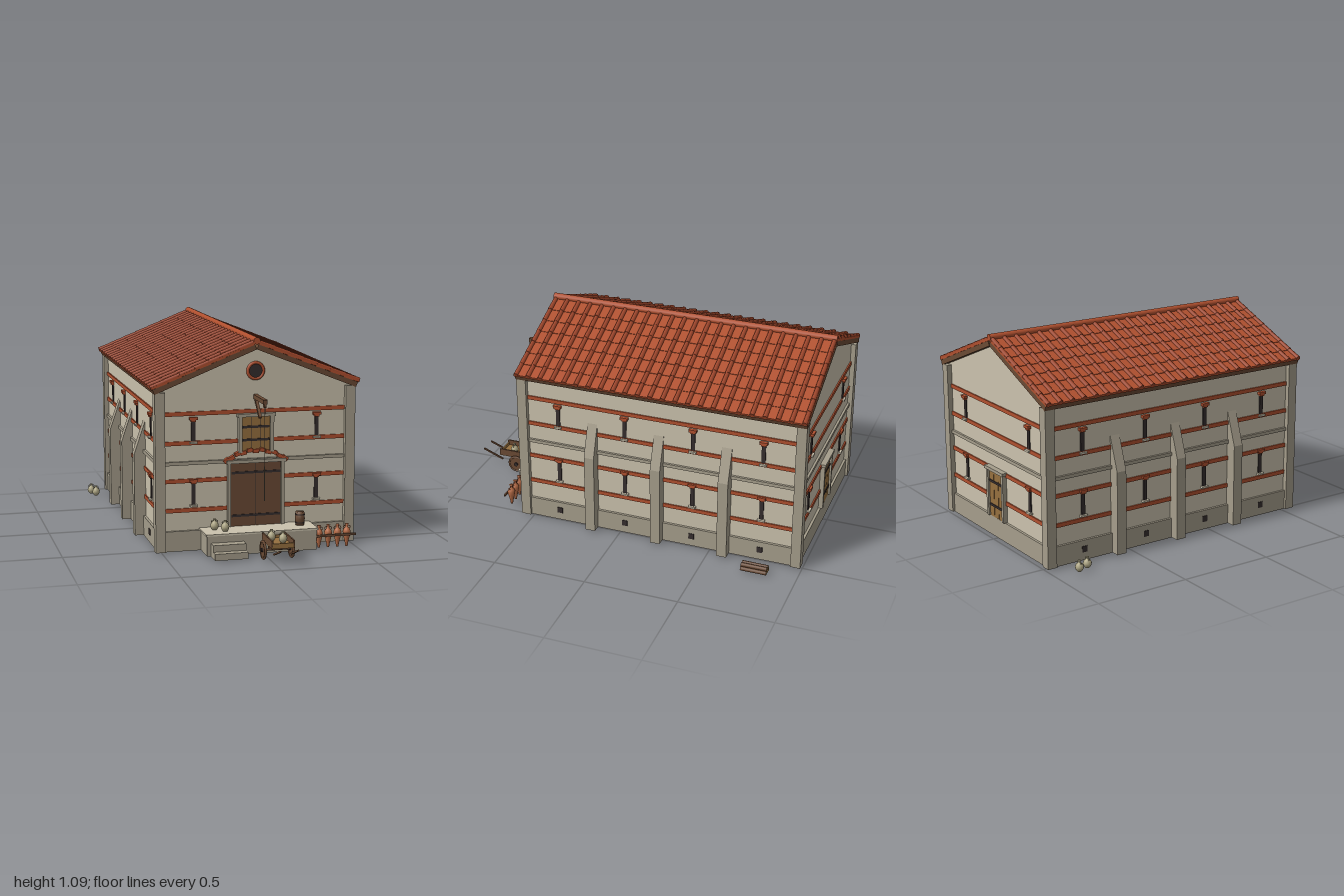
import * as THREE from 'three';

const mat = (name, color, double) => {
  const m = new THREE.MeshStandardMaterial({ color });
  m.name = name;
  if (double) m.side = THREE.DoubleSide;
  return m;
};
const plaster = mat('plaster', 0xcbc2ad), stone = mat('stone', 0xa59d8b), terracotta = mat('terracotta', 0xb0502f),
  ribTile = mat('ribTile', 0x9c4429), darkWood = mat('darkWood', 0x6a4a34), wood = mat('wood', 0x96703f),
  iron = mat('iron', 0x352d2d), clay = mat('clay', 0xb96d47, true), paleClay = mat('paleClay', 0xb0a886, true),
  rope = mat('rope', 0x8a806c);

const BASE = 0.007, CX = -0.008, CZ = -0.213, HW = 0.5, HD = 0.753;

function add(parent, name, geo, material, x = 0, y = 0, z = 0) {
  const m = new THREE.Mesh(geo, material);
  m.name = name;
  m.position.set(x, y, z);
  parent.add(m);
  return m;
}
const box = (p, name, m, w, h, d, x, y, z) => add(p, name, new THREE.BoxGeometry(w, h, d), m, x, y, z);
const cyl = (r, h, n = 12, r2 = r) => new THREE.CylinderGeometry(r, r2, h, n);
function group(parent, name, x = 0, y = 0, z = 0, ry = 0) {
  const g = new THREE.Group();
  g.name = name;
  g.position.set(x, y, z);
  g.rotation.y = ry;
  parent.add(g);
  return g;
}
// Box spanning y0..y1 standing out from a wall plane at local z = 0
const slab = (p, name, m, w, y0, y1, out, x = 0) =>
  box(p, name, m, w, y1 - y0, out + 0.01, x, (y0 + y1) / 2, out / 2 - 0.005);

// Slit windows on both storeys
function slits(wall, x) {
  for (const [y0, y1] of [[0.244, 0.358], [0.57, 0.677]]) {
    slab(wall, 'slitWindow', iron, 0.021, y0, y1, 0.006, x);
    slab(wall, 'windowSill', plaster, 0.038, y0 - 0.01, y0, 0.018, x);
    slab(wall, 'windowCap', terracotta, 0.042, y1 + 0.004, y1 + 0.018, 0.018, x);
    slab(wall, 'windowCapBase', terracotta, 0.026, y1 - 0.005, y1 + 0.004, 0.014, x);
  }
}

// Plank door with stone frame and iron straps
function door(wall, name, m, half, y0, y1, jamb, planks, straps) {
  const g = group(wall, name), w = (2 * half) / planks;
  slab(g, 'doorBack', iron, 2 * half, y0, y1, 0.01);
  for (let i = 0; i < planks; i++) slab(g, 'plank', m, w - 0.003, y0, y1, 0.014, -half + w * (i + 0.5));
  for (const s of [-1, 1]) slab(g, 'jamb', stone, jamb, y0, y1, 0.024, s * (half + jamb / 2));
  slab(g, 'lintel', stone, 2 * (half + jamb) + 0.014, y1, y1 + 0.017, 0.03);
  for (const y of straps) slab(g, 'ironStrap', iron, 2 * half - 0.008, y - 0.006, y + 0.006, 0.018);
}

// Lathe vessels from a profile of [radius, height]
const lathe = (pts) => new THREE.LatheGeometry(pts.map(([r, y]) => new THREE.Vector2(r, y)), 12);
const potGeo = lathe([[0, 0], [0.011, 0], [0.02, 0.013], [0.022, 0.025], [0.016, 0.039], [0.007, 0.045], [0.006, 0.053], [0.009, 0.057], [0, 0.057]]);
const amphoraGeo = lathe([[0, 0], [0.006, 0.001], [0.009, 0.02], [0.017, 0.055], [0.021, 0.078], [0.016, 0.092], [0.008, 0.1], [0.007, 0.112], [0.011, 0.118], [0, 0.118]]);
function vessel(parent, name, geo, m, x, y, z, handleY, r) {
  const g = group(parent, name, x, y, z);
  add(g, 'body', geo, m);
  for (const s of [-1, 1]) add(g, 'handle', new THREE.TorusGeometry(r, 0.002, 5, 10), m, s * 0.01, handleY, 0);
}
const pot = (p, x, y, z) => vessel(p, 'pot', potGeo, paleClay, x, y, z, 0.044, 0.006);

export function createModel() {
  const root = new THREE.Group();
  root.name = 'warehouse';
  const house = group(root, 'building', CX, 0, CZ);

  // Gabled body
  const gable = new THREE.Shape([[-HW, BASE], [HW, BASE], [HW, 0.835], [0, 1.036], [-HW, 0.835]].map(([x, y]) => new THREE.Vector2(x, y)));
  add(house, 'walls', new THREE.ExtrudeGeometry(gable, { depth: 2 * HD, bevelEnabled: false }), plaster, 0, 0, -HD);

  // Plinth and bands running all round
  const ring = (name, m, y0, y1, p) => box(house, name, m, 2 * (HW + p), y1 - y0, 2 * (HD + p), 0, (y0 + y1) / 2, 0);
  ring('plinth', stone, BASE - 0.001, 0.111, 0.013);
  ring('stringCourse', stone, 0.451, 0.469, 0.012);
  for (const y of [0.2165, 0.3685, 0.5625, 0.7125]) ring('paintedBand', terracotta, y - 0.0105, y + 0.0105, 0.007);
  for (const x of [-HW, HW]) for (const z of [-HD, HD])
    box(house, 'cornerPilaster', stone, 0.052, 0.82, 0.052, x, BASE + 0.41, z);

  // Side walls: buttresses, slits, vents
  const prof = new THREE.Shape([[-0.01, BASE], [0.06, BASE], [0.06, 0.445], [0, 0.62], [-0.01, 0.62]].map(([x, y]) => new THREE.Vector2(x, y)));
  const buttGeo = new THREE.ExtrudeGeometry(prof, { depth: 0.054, bevelEnabled: false });
  buttGeo.translate(0, 0, -0.027).rotateY(-Math.PI / 2);
  for (const s of [-1, 1]) {
    const wall = group(house, 'sideWall', s * HW, 0, 0, s * Math.PI / 2);
    for (let i = -1; i <= 1; i++) add(wall, 'buttress', buttGeo, stone, i * 0.366, 0, 0);
    for (let i = 0; i < 4; i++) {
      const x = (i - 1.5) * 0.372;
      slits(wall, x);
      slab(wall, 'vent', iron, 0.03, 0.048, 0.08, 0.016, x);
    }
  }

  // Front and back walls
  const front = group(house, 'frontWall', 0, 0, HD);
  const back = group(house, 'backWall', 0, 0, -HD, Math.PI);
  for (const w of [front, back]) for (const x of [-0.325, 0.325]) slits(w, x);
  door(front, 'mainDoor', darkWood, 0.133, 0.112, 0.449, 0.017, 2, [0.399, 0.175]);
  door(front, 'loftDoor', wood, 0.074, 0.503, 0.687, 0.019, 3, [0.634, 0.567]);
  door(back, 'backDoor', wood, 0.068, 0.112, 0.365, 0.018, 3, [0.175, 0.305]);
  add(front, 'oculusRing', new THREE.TorusGeometry(0.041, 0.008, 8, 24), terracotta, 0, 0.919, 0.003);
  add(front, 'oculus', cyl(0.037, 0.012, 24), iron, 0, 0.919, 0).rotation.x = Math.PI / 2;

  // Relieving arch of bricks over the main door
  for (let i = -5; i <= 5; i++) {
    const a = i * 0.125;
    box(front, 'archBrick', terracotta, 0.03, 0.02, 0.024, Math.sin(a) * 0.265, 0.247 + Math.cos(a) * 0.265 + (i % 2 ? 0.003 : -0.003), 0.01).rotation.z = -a;
  }

  // Hoist
  const hoist = group(front, 'hoist');
  box(hoist, 'hoistBeam', darkWood, 0.022, 0.022, 0.2, 0, 0.787, 0.09);
  box(hoist, 'hoistBrace', darkWood, 0.015, 0.13, 0.015, 0, 0.74, 0.048).rotation.x = -0.75;
  add(hoist, 'pulley', cyl(0.012, 0.012, 10), darkWood, 0, 0.769, 0.178).rotation.z = Math.PI / 2;
  add(hoist, 'hoistRope', cyl(0.002, 0.485, 6), rope, 0, 0.525, 0.178);

  // Roof: boards, stepped pan tiles and segmented ribs on each slope
  const depth = 1.566, len = 0.568, courses = 7, ribs = 24, step = len / courses;
  const ribGeo = cyl(0.0115, step + 0.006, 8, 0.0135);
  for (const s of [0, 1]) {
    const side = group(house, 'roofSide', 0, 1.03, 0, s * Math.PI);
    const slope = group(side, 'roofSlope');
    slope.rotation.z = -Math.atan(0.4);
    box(slope, 'roofBoards', darkWood, len, 0.027, depth - 0.004, len / 2, 0.0135, 0);
    for (let c = 0; c < courses; c++) {
      const x = step * (c + 0.5);
      box(slope, 'panTiles', terracotta, step + 0.006, 0.012, depth - 0.002, x + 0.003, 0.033, 0).rotation.z = 0.035;
      for (let i = 0; i < ribs; i++)
        add(slope, 'ribTile', ribGeo, ribTile, x + 0.003, 0.038, (i / (ribs - 1) - 0.5) * (depth - 0.028)).rotation.z = Math.PI / 2;
    }
  }
  add(house, 'ridgeTile', cyl(0.018, depth, 12), terracotta, 0, 1.073, 0).rotation.x = Math.PI / 2;

  // Loading platform and steps
  const dock = group(root, 'loadingDock');
  box(dock, 'platform', stone, 0.575, 0.105, 0.16, -0.01, BASE + 0.0525, 0.61);
  box(dock, 'platformTop', plaster, 0.587, 0.009, 0.166, -0.01, 0.1155, 0.613);
  box(dock, 'lowerStep', stone, 0.17, 0.034, 0.1, -0.193, BASE + 0.017, 0.73);
  box(dock, 'upperStep', stone, 0.17, 0.068, 0.06, -0.193, BASE + 0.034, 0.71);
  pot(dock, -0.237, 0.12, 0.598);
  pot(dock, -0.192, 0.12, 0.64);

  // Barrel
  const barrel = group(dock, 'barrel', 0.213, 0.12, 0.603);
  add(barrel, 'staves', lathe([[0, 0], [0.023, 0], [0.0265, 0.035], [0.023, 0.07], [0, 0.07]]), darkWood);
  for (const y of [0.014, 0.056]) add(barrel, 'hoop', cyl(0.0263, 0.006, 12), iron, 0, y, 0);

  // Amphora rack
  const rack = group(root, 'amphoraRack');
  for (let i = 0; i < 4; i++) vessel(rack, 'amphora', amphoraGeo, clay, 0.298 + i * 0.05, BASE, 0.66, 0.1, 0.009);
  box(rack, 'rackRail', darkWood, 0.23, 0.011, 0.008, 0.375, 0.074, 0.682);

  // Hand cart
  const cart = group(root, 'cart', 0.04, 0, 0.805);
  box(cart, 'cartBed', wood, 0.116, 0.012, 0.18, 0, 0.086, 0);
  for (const s of [-1, 1]) {
    box(cart, 'cartSide', darkWood, 0.008, 0.036, 0.18, s * 0.055, 0.102, 0);
    box(cart, 'cartEnd', wood, 0.11, 0.022, 0.008, 0, 0.095, s * 0.086);
    const wheel = group(cart, 'wheel', s * 0.073, 0.05, -0.018, Math.PI / 2);
    add(wheel, 'rim', new THREE.TorusGeometry(0.043, 0.007, 6, 20), darkWood);
    add(wheel, 'disc', cyl(0.042, 0.008, 20), darkWood).rotation.x = Math.PI / 2;
    add(wheel, 'hub', cyl(0.011, 0.022, 10), iron).rotation.x = Math.PI / 2;
    box(cart, 'shaft', darkWood, 0.008, 0.008, 0.125, s * 0.045, 0.072, 0.138).rotation.x = -0.37;
  }
  add(cart, 'axle', cyl(0.006, 0.15, 8), darkWood, 0, 0.05, -0.018).rotation.z = Math.PI / 2;
  box(cart, 'axleBlock', darkWood, 0.09, 0.034, 0.016, 0, 0.066, -0.018);
  pot(cart, -0.025, 0.09, -0.038);
  pot(cart, 0.02, 0.09, 0.015);

  // Loose pots on one side, log pile on the other
  pot(root, -0.632, BASE, -0.873);
  pot(root, -0.613, BASE, -0.815);
  const logs = group(root, 'logPile', 0.612, BASE, -0.778);
  for (const [x, y] of [[-0.021, 0.01], [0, 0.01], [0.021, 0.01], [-0.0105, 0.028], [0.0105, 0.028]])
    add(logs, 'log', cyl(0.0105, 0.138, 8), [darkWood, wood, wood], x, y, 0).rotation.x = Math.PI / 2;

  return root;
}
